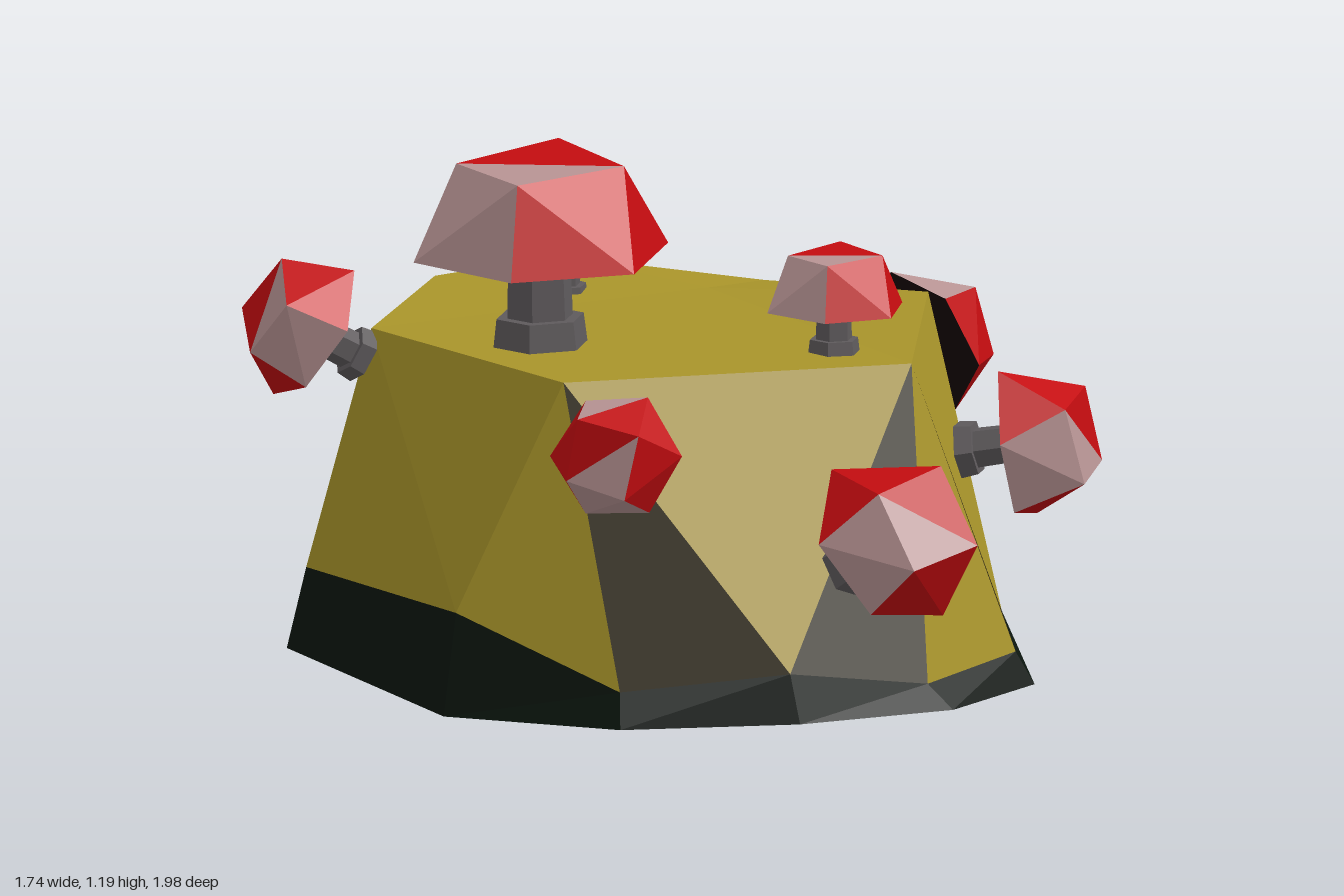
import * as THREE from 'three';

const OLIVE = 0xa8942a, BROWN = 0x302912, GREEN = 0x0b150e;
const RED = 0xc40c10, PINK = 0xb89494, GREY = 0x5e5a5c, DARK = 0x140606;

const mat = (color) => new THREE.MeshStandardMaterial({ color, flatShading: true, side: THREE.DoubleSide });

// Faceted mesh from a list of triangles of corner points
function facets(name, color, tris) {
  const g = new THREE.BufferGeometry();
  g.setAttribute('position', new THREE.Float32BufferAttribute(tris.flat(2), 3));
  g.computeVertexNormals();
  const mesh = new THREE.Mesh(g, mat(color));
  mesh.name = name;
  return mesh;
}

// Hollow stump: ground ring, moss line and upper rim, all from the front towards +x
function makeStump() {
  const base = [[-0.04, 0.83], [0.29, 0.77], [0.56, 0.45], [0.73, 0.25], [0.75, -0.03], [0.61, -0.54],
    [0.37, -0.74], [-0.07, -0.91], [-0.56, -0.72], [-0.87, 0.05], [-0.71, 0.44], [-0.39, 0.69]]
    .map(([x, z]) => [x, 0, z]);
  const moss = [[-0.08, 0.06, 0.79], [0.26, 0.075, 0.74], [0.53, 0.085, 0.445], [0.7, 0.15, 0.235],
    [0.72, 0.28, -0.075], [0.61, 0.15, -0.49], [0.36, 0.25, -0.7], [-0.08, 0.21, -0.86],
    [-0.55, 0.19, -0.67], [-0.83, 0.23, 0.05], [-0.69, 0.08, 0.42], [-0.39, 0.11, 0.66]];
  const rim = [[0.07, 0.74, 0.6], [0.53, 0.78, 0.22], [0.55, 0.73, -0.3], [0.22, 0.79, -0.62],
    [-0.13, 0.79, -0.67], [-0.54, 0.76, -0.48], [-0.65, 0.75, 0.21]];
  // Dark patch at the back: the bark starts from a higher edge there
  const ledge = [[0.55, 0.45, -0.5], [0.34, 0.47, -0.68], [-0.07, 0.43, -0.79]];
  const foot = [...moss.slice(0, 6), ...ledge, ...moss.slice(8)];
  // First and last foot point below each rim point
  const spans = [[12, 15], [2, 4], [4, 6], [6, 7], [7, 9], [9, 10], [10, 12]];
  const creases = [12, 1, 3, 8, 11];

  const skirt = [], bark = [], top = [];
  const crease = [[moss[7], moss[8], ledge[2]]];
  for (let i = 0; i < 2; i++) {
    crease.push([moss[5 + i], moss[6 + i], ledge[i + 1]], [moss[5 + i], ledge[i + 1], ledge[i]]);
  }
  base.forEach((b, i) => {
    const j = (i + 1) % 12;
    skirt.push([b, base[j], moss[j]], [b, moss[j], moss[i]]);
  });
  rim.forEach((t, k) => {
    const [from, to] = spans[k], next = rim[(k + 1) % rim.length];
    for (let i = from; i < to; i++) {
      (creases.includes(i % 13) ? crease : bark).push([foot[i % 13], foot[(i + 1) % 13], t]);
    }
    bark.push([t, foot[to % 13], next]);
    top.push([t, next, [0.28, 0.765, -0.22]]);
  });
  const stump = new THREE.Group();
  stump.name = 'stump';
  stump.add(facets('mossSkirt', GREEN, skirt), facets('bark', OLIVE, bark),
    facets('barkCreases', BROWN, crease), facets('stumpTop', OLIVE, top));
  return stump;
}

// Mushroom along local +y, with the cap rim at the origin
function makeMushroom({ at, dir, r, h, stem, turn }) {
  const m = new THREE.Group();
  m.name = 'mushroom';
  // Ring of points at angles given in sixths of a turn, slightly uneven
  const ring = (steps, rad, y, lift) => steps.map((s, i) => {
    const a = s * Math.PI / 3 + turn;
    const k = rad * (1 + 0.05 * Math.sin(i * 2.3 + turn));
    return [Math.sin(a) * k, y + lift * Math.sin(i * 1.9 + turn), Math.cos(a) * k];
  });
  const rim = ring([0, 1, 2, 3, 4, 5], r, 0, 0.03 * r);
  const crown = ring([0.5, 2, 3.5, 5], r * 0.68, h * 0.97, 0.06 * h);
  const above = [0, 1, 1, 2, 3, 3];
  const red = [[crown[0], crown[1], crown[2]]], pink = [[crown[0], crown[2], crown[3]]], under = [];
  for (let i = 0; i < 6; i++) {
    const j = (i + 1) % 6, c = crown[above[i]], d = crown[above[j]];
    (i % 3 === 1 ? pink : red).push([rim[i], rim[j], c]);
    if (c !== d) (i === 3 ? pink : red).push([c, rim[j], d]);
    under.push([rim[j], rim[i], [0, 0.15 * h, 0]]);
  }
  m.add(facets('capRed', RED, red), facets('capSpots', PINK, pink), facets('capUnderside', DARK, under));

  // Hexagonal stem with a wider foot
  const s = r * 0.27, footHeight = r * 0.22;
  const post = new THREE.Mesh(new THREE.CylinderGeometry(s * 0.9, s, stem + 0.3 * h, 6), mat(GREY));
  post.position.y = (0.3 * h - stem) / 2;
  post.name = 'stem';
  const collar = new THREE.Mesh(new THREE.CylinderGeometry(s * 1.3, s * 1.4, footHeight, 6), mat(GREY));
  collar.position.y = -stem + footHeight / 2;
  collar.name = 'stemFoot';
  m.add(post, collar);

  m.position.set(...at);
  m.quaternion.setFromUnitVectors(new THREE.Vector3(0, 1, 0), new THREE.Vector3(...dir).normalize());
  return m;
}

export function createModel() {
  const model = new THREE.Group();
  model.name = 'mushroomStump';
  model.add(makeStump());
  const mushrooms = [
    // on top
    { at: [-0.43, 0.965, -0.07], dir: [-0.02, 1, 0], r: 0.29, h: 0.22, stem: 0.2, turn: 0 },
    { at: [0.02, 0.85, -0.42], dir: [0, 1, 0.03], r: 0.16, h: 0.13, stem: 0.1, turn: 0 },
    { at: [0.03, 0.84, 0.4], dir: [0, 1, 0], r: 0.16, h: 0.13, stem: 0.1, turn: 0.1 },
    // around the sides
    { at: [-0.21, 0.4, 0.79], dir: [-0.1, 0.5, 0.87], r: 0.2, h: 0.16, stem: 0.15, turn: 0.3 },
    { at: [0.37, 0.52, 0.64], dir: [0.45, 0.15, 0.75], r: 0.18, h: 0.16, stem: 0.13, turn: 0.9 },
    { at: [0.72, 0.61, 0.02], dir: [0.96, 0.28, 0], r: 0.17, h: 0.13, stem: 0.14, turn: 0.2 },
    { at: [0.6, 0.57, -0.44], dir: [0.8, 0.1, -0.4], r: 0.09, h: 0.08, stem: 0.09, turn: 0.6 },
    { at: [0.12, 0.5, -0.85], dir: [0.15, 0.3, -1], r: 0.165, h: 0.14, stem: 0.13, turn: 0.4 },
    { at: [-0.66, 0.76, -0.54], dir: [-0.8, 0.5, -0.42], r: 0.165, h: 0.14, stem: 0.13, turn: 0.8 },
    { at: [-0.7, 0.62, 0.42], dir: [-0.85, 0.12, 0.4], r: 0.15, h: 0.12, stem: 0.1, turn: 0.5 },
  ];
  mushrooms.forEach((p) => model.add(makeMushroom(p)));
  return model;
}
